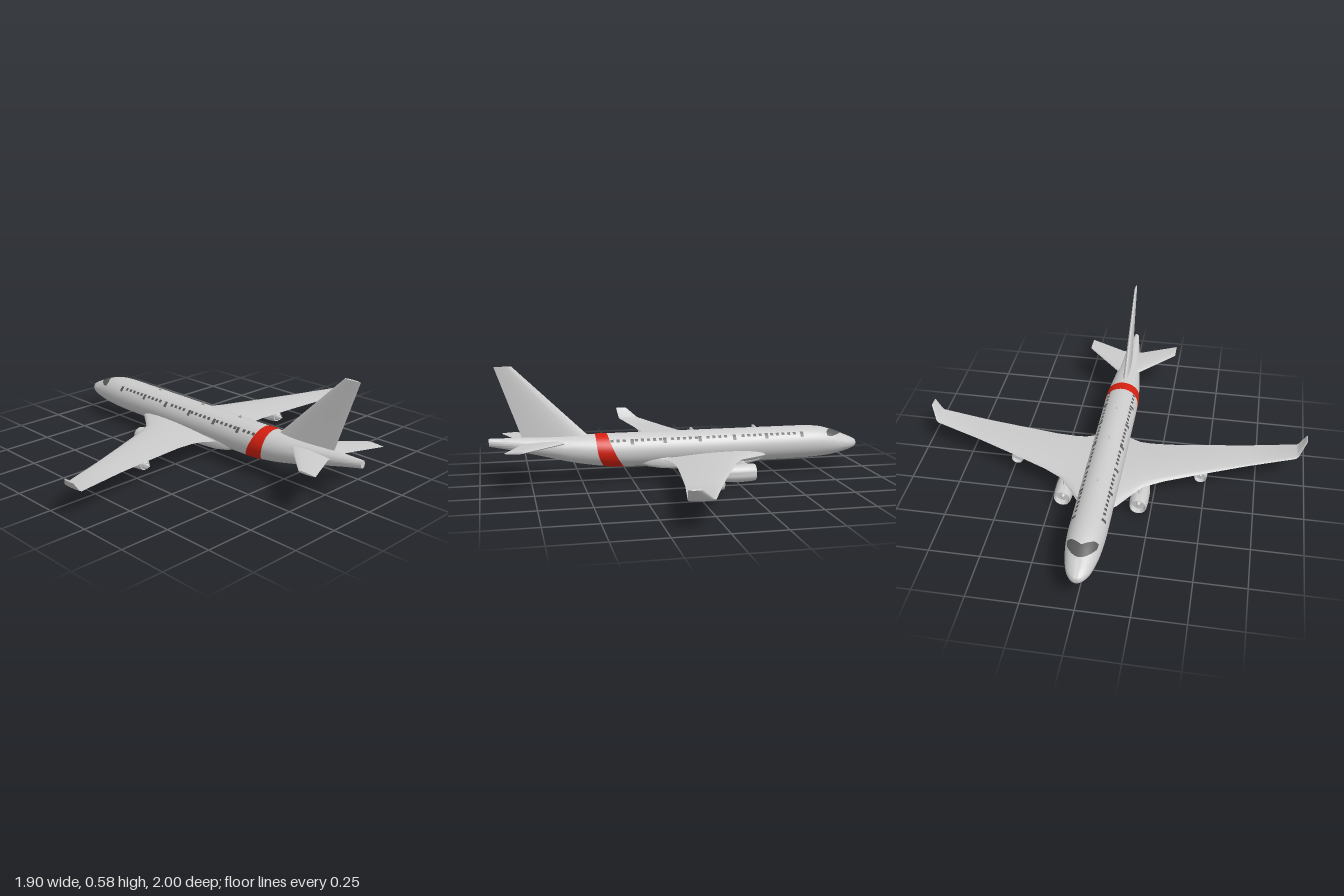
import * as THREE from 'three';
import { mergeGeometries, toCreasedNormals } from 'three/addons/utils/BufferGeometryUtils.js';

const grey = new THREE.MeshStandardMaterial({ color: 0xcccccc });
const glass = new THREE.MeshStandardMaterial({ color: 0x5a5a5a, side: THREE.DoubleSide });
const red = new THREE.MeshStandardMaterial({ color: 0xd42010, side: THREE.DoubleSide });

// Fuselage stations: x, bottom, top, half width
const stations = [
  [-0.955, 0.134, 0.136, 0.001], [-0.95, 0.12, 0.15, 0.018], [-0.935, 0.11, 0.16, 0.035],
  [-0.9, 0.098, 0.176, 0.055], [-0.85, 0.086, 0.196, 0.069], [-0.8, 0.077, 0.215, 0.079],
  [-0.75, 0.072, 0.228, 0.085], [-0.68, 0.068, 0.235, 0.089], [-0.58, 0.066, 0.236, 0.09],
  [0.25, 0.066, 0.236, 0.09], [0.4, 0.075, 0.236, 0.088], [0.55, 0.1, 0.234, 0.073],
  [0.7, 0.138, 0.233, 0.051], [0.85, 0.174, 0.233, 0.029], [0.95, 0.195, 0.234, 0.014],
];

// Smooth interpolation between stations
function stationAt(x) {
  const S = stations, n = S.length;
  let i = 0;
  while (i < n - 2 && x > S[i + 1][0]) i++;
  const a = S[i], b = S[i + 1], d = b[0] - a[0], t = (x - a[0]) / d;
  const p = S[Math.max(i - 1, 0)], q = S[Math.min(i + 2, n - 1)];
  return [1, 2, 3].map((k) => {
    const m0 = ((b[k] - p[k]) / (b[0] - p[0])) * d, m1 = ((q[k] - a[k]) / (q[0] - a[0])) * d;
    const t2 = t * t, t3 = t2 * t;
    return (2 * t3 - 3 * t2 + 1) * a[k] + (t3 - 2 * t2 + t) * m0 + (3 * t2 - 2 * t3) * b[k] + (t3 - t2) * m1;
  });
}

// Point on the hull; angle is measured from the top towards +z
function hullPoint(x, angle, out = 0) {
  const [bottom, top, w] = stationAt(x);
  return [x, (bottom + top) / 2 + ((top - bottom) / 2 + out) * Math.cos(angle), (w + out) * Math.sin(angle)];
}

// Capped skin through rings of equal length, turned outward whatever the ring order
function loft(rings, crease = 0.6) {
  const n = rings[0].length, pos = rings.flat(2), idx = [];
  for (let i = 0; i < rings.length - 1; i++)
    for (let j = 0; j < n; j++) {
      const a = i * n + j, b = i * n + ((j + 1) % n);
      idx.push(a, b, a + n, b, b + n, a + n);
    }
  const last = (rings.length - 1) * n;
  for (let j = 1; j < n - 1; j++) idx.push(0, j + 1, j, last, last + j, last + j + 1);
  const v = (k) => new THREE.Vector3().fromArray(pos, idx[k] * 3);
  let volume = 0;
  for (let k = 0; k < idx.length; k += 3) volume += v(k).dot(v(k + 1).cross(v(k + 2)));
  if (volume < 0) idx.reverse();
  const g = new THREE.BufferGeometry();
  g.setAttribute('position', new THREE.Float32BufferAttribute(pos, 3));
  g.setIndex(idx);
  return toCreasedNormals(g, crease);
}

// Aerofoil ring along x; tilt turns its thickness from y towards z
function foil(xle, xte, y, z, thick, tilt = 0, n = 20) {
  return Array.from({ length: n }, (_, i) => {
    const a = (i / n) * Math.PI * 2, u = (1 - Math.cos(a)) / 2;
    const h = Math.sign(Math.sin(a)) * thick * (1.3 * Math.sqrt(u) * (1 - u) + 0.02);
    return [xle + (xte - xle) * u, y + h * Math.cos(tilt), z - h * Math.sin(tilt)];
  });
}

// Thin panel lying on the hull, its x limits given per angle
function patch(x0, x1, a0, a1, nx = 2, na = 4, out = 0.0015) {
  const pos = [], idx = [];
  for (let j = 0; j <= na; j++)
    for (let i = 0; i <= nx; i++) {
      const a = a0 + ((a1 - a0) * j) / na, s = x0(a), e = x1(a);
      pos.push(...hullPoint(s + ((e - s) * i) / nx, a, out));
      if (i < nx && j < na) {
        const k = j * (nx + 1) + i, m = k + nx + 1;
        idx.push(k, m, k + 1, k + 1, m, m + 1);
      }
    }
  const g = new THREE.BufferGeometry();
  g.setAttribute('position', new THREE.Float32BufferAttribute(pos, 3));
  g.setIndex(idx);
  g.computeVertexNormals();
  return g;
}

export function createModel() {
  const model = new THREE.Group();
  const add = (name, geometry, material = grey) => {
    const mesh = new THREE.Mesh(geometry, material);
    mesh.name = name;
    model.add(mesh);
    return mesh;
  };

  // Fuselage, sampled finely through the nose and tail
  const xs = [];
  for (let i = 0; i < stations.length - 1; i++)
    for (let k = 0; k < 4; k++) xs.push(stations[i][0] + ((stations[i + 1][0] - stations[i][0]) * k) / 4);
  xs.push(0.95);
  add('fuselage', loft(xs.map((x) => Array.from({ length: 40 }, (_, j) => hullPoint(x, (j / 40) * Math.PI * 2)))));

  // Squarish belly fairing between the wings
  const belly = [[-0.46, 0.1, 0.05], [-0.4, 0.07, 0.075], [-0.32, 0.054, 0.086], [-0.2, 0.049, 0.09],
    [0, 0.05, 0.09], [0.1, 0.056, 0.086], [0.17, 0.067, 0.075], [0.24, 0.09, 0.05]];
  const sq = (v) => Math.sign(v) * Math.sqrt(Math.abs(v));
  add('bellyFairing', loft(belly.map(([x, bottom, w]) => Array.from({ length: 32 }, (_, j) => {
    const a = (j / 32) * Math.PI * 2;
    return [x, (0.13 + bottom) / 2 + ((0.13 - bottom) / 2) * sq(Math.cos(a)), w * sq(Math.sin(a))];
  }))));

  // Tail band, swept forward towards the belly
  const ease = (a) => (1 - Math.cos(a)) / 2;
  add('tailBand', patch((a) => 0.373 - 0.035 * ease(a) - 0.05 * ease(a) ** 2, (a) => 0.433 - 0.045 * ease(a) ** 3,
    -Math.PI, Math.PI, 8, 64), red);

  // Wrap-around cockpit glass
  const side = (a) => Math.abs(a) / 1.0;
  add('cockpitWindow', patch((a) => -0.862 + 0.065 * side(a) ** 2, (a) => -0.805 + 0.035 * Math.min(1, side(a) * 1.4),
    -1, 1, 8, 32, 0.002), glass);

  // Cabin windows with a taller door pane at intervals
  const panes = [], doors = [-0.63, -0.44, -0.27, -0.09, 0.09, 0.255];
  const pane = (x, w, a0, a1) => [1, -1].forEach((s) => panes.push(patch(() => x - w / 2, () => x + w / 2, s * a0, s * a1)));
  for (const x of doors) pane(x, 0.017, 0.73, 1.08);
  for (let x = -0.59; x < 0.36; x += 0.0305)
    if (doors.every((d) => Math.abs(d - x) > 0.016)) pane(x, 0.016, 0.74, 0.92);
  add('cabinWindows', mergeGeometries(panes), glass);

  // Roof aerials
  for (const x of [-0.41, -0.08, 0.185])
    add('aerial', loft([foil(x, x + 0.028, 0.232, 0, 0.005, Math.PI / 2, 8), foil(x + 0.018, x + 0.029, 0.25, 0, 0.003, Math.PI / 2, 8)]));

  // Fin
  add('fin', loft([foil(0.44, 0.785, 0.215, 0, 0.034, Math.PI / 2), foil(0.475, 0.793, 0.24, 0, 0.03, Math.PI / 2),
    foil(0.83, 0.915, 0.584, 0, 0.012, Math.PI / 2)]));

  // Wing sections: leading x, trailing x, y, z, thickness, tilt (the last ones form the winglet)
  const wing = [
    [-0.46, 0.13, 0.106, 0.05, 0.058, 0], [-0.42, 0.112, 0.108, 0.095, 0.052, 0], [-0.35, 0.085, 0.112, 0.145, 0.042, 0],
    [-0.272, 0.076, 0.117, 0.205, 0.032, 0], [-0.218, 0.077, 0.121, 0.3, 0.026, 0], [-0.13, 0.1, 0.126, 0.5, 0.018, 0],
    [-0.045, 0.126, 0.13, 0.7, 0.013, 0], [0.05, 0.17, 0.134, 0.948, 0.009, 0.1], [0.063, 0.173, 0.141, 0.96, 0.008, 0.8],
    [0.122, 0.182, 0.192, 0.998, 0.006, 0.9]];

  // Nacelle: spinner, fan, inlet lip, cowl, nozzle step and exhaust cone (radius, length)
  const nacelle = [[0, 0.012], [0.007, 0.018], [0.012, 0.03], [0.034, 0.03], [0.035, 0.006], [0.037, 0.001], [0.04, 0.001],
    [0.043, 0.012], [0.046, 0.05], [0.046, 0.11], [0.042, 0.155], [0.037, 0.188], [0.028, 0.186], [0.025, 0.203],
    [0.02, 0.213], [0.014, 0.21], [0, 0.24]].map(([r, l]) => new THREE.Vector2(r, l));
  const engineGeometry = toCreasedNormals(new THREE.LatheGeometry(nacelle, 32).rotateZ(-Math.PI / 2), 0.6);

  for (const s of [1, -1]) {
    const label = s < 0 ? 'right' : 'left';
    add(label + 'Wing', loft(wing.map(([a, b, y, z, t, tilt]) => foil(a, b, y, s * z, t, s * tilt))));
    add(label + 'Tailplane', loft([foil(0.53, 0.795, 0.204, s * 0.015, 0.022), foil(0.585, 0.8, 0.205, s * 0.055, 0.02),
      foil(0.79, 0.885, 0.209, s * 0.246, 0.009)]));
    // Engines and pylons: x, y, z, scale
    for (const [name, x, y, z, k] of [['Inner', -0.345, 0.047, 0.19, 1], ['Outer', -0.107, 0.075, 0.475, 0.74]]) {
      const engine = add(label + name + 'Engine', engineGeometry);
      engine.position.set(x, y, s * z);
      engine.scale.setScalar(k);
      add(label + name + 'Pylon', loft([foil(x + 0.04 * k, x + 0.19 * k, y + 0.035 * k, s * z, 0.018 * k, Math.PI / 2),
        foil(x + 0.07 * k, x + 0.26 * k, y + 0.072 * k, s * z, 0.016 * k, Math.PI / 2)]));
    }
  }
  return model;
}
